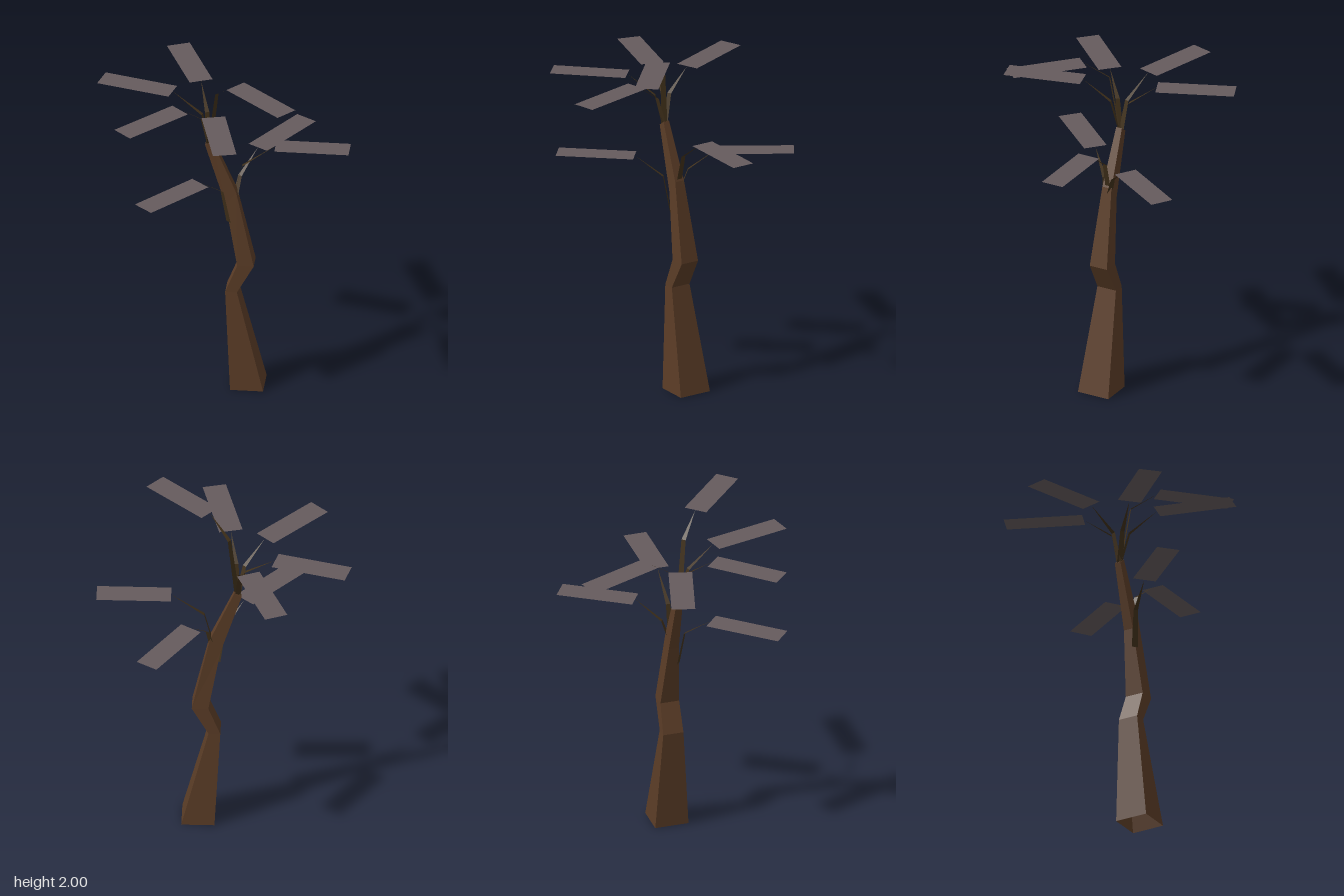
import * as THREE from 'three';

const bark = new THREE.MeshStandardMaterial({ color: 0x5a3c26, flatShading: true, side: THREE.DoubleSide });
const twigBark = new THREE.MeshStandardMaterial({ color: 0x40301a, flatShading: true, side: THREE.DoubleSide });
const leafGrey = new THREE.MeshStandardMaterial({ color: 0x655b5d, flatShading: true, side: THREE.DoubleSide });

// Joins rings of equal length into one surface
function loft(rings, closed) {
  const n = rings[0].length, index = [];
  for (let i = 0; i < rings.length - 1; i++) {
    for (let j = 0; j < (closed ? n : n - 1); j++) {
      const a = i * n + j, b = i * n + (j + 1) % n;
      index.push(a, a + n, b, b, a + n, b + n);
    }
  }
  const geometry = new THREE.BufferGeometry();
  geometry.setAttribute('position', new THREE.Float32BufferAttribute(rings.flat(2), 3));
  geometry.setIndex(index);
  geometry.computeVertexNormals();
  return geometry;
}

function add(parent, name, geometry, material) {
  const mesh = new THREE.Mesh(geometry, material);
  mesh.name = name;
  parent.add(mesh);
  return mesh;
}

// Four-sided crooked trunk: [x left, y left, x right, y right, z back, z front]
function makeTrunk() {
  const sections = [
    [0.05, 0, 0.238, 0, -0.117, 0.08],
    [0.018, 0.61, 0.085, 0.61, -0.08, 0.04],
    [0.086, 0.78, 0.18, 0.78, -0.075, 0.036],
    [0.018, 1.16, 0.078, 1.24, -0.047, 0.012],
    [-0.1, 1.53, -0.06, 1.56, -0.037, 0],
  ];
  const rings = sections.map(([xl, yl, xr, yr, zb, zf]) =>
    [[xl, yl, zb], [xl, yl, zf], [xr, yr, zf], [xr, yr, zb]].reverse());
  const [xl, yl, xr, yr, zb, zf] = sections[sections.length - 1];
  const tip = [(xl + xr) / 2, (yl + yr) / 2, (zb + zf) / 2];
  rings.push([tip, tip, tip, tip]);
  return loft(rings, true);
}

// Flat tapering twig, widened sideways to the direction it grows in
function makeTwig(points, heading) {
  const sx = -Math.sin(heading), sz = Math.cos(heading);
  const halfWidths = [0.018, 0.013, 0];
  return loft(points.map(([x, y, z], i) =>
    [-1, 1].map(s => [x + s * sx * halfWidths[i], y, z + s * sz * halfWidths[i]])), false);
}

export function createModel() {
  const tree = new THREE.Group();
  tree.name = 'bareTree';
  add(tree, 'trunk', makeTrunk(), bark);

  // Each branch: root, bend, tip, and the middle of the leaf's outer edge (x, z)
  const branches = [
    [[0.06, 1.2, -0.02], [0.11, 1.4, -0.022], [0.298, 1.535, -0.025], [0.72, -0.025]],
    [[0.07, 1.2, -0.03], [0.092, 1.31, -0.065], [0.18, 1.425, -0.195], [0.418, -0.568]],
    [[0.035, 1.05, 0.015], [0, 1.26, 0.042], [-0.11, 1.375, 0.163], [-0.402, 0.495]],
    [[-0.08, 1.53, -0.02], [-0.095, 1.71, -0.062], [-0.145, 1.825, -0.215], [-0.318, -0.628]],
    [[-0.08, 1.53, -0.02], [-0.12, 1.71, -0.035], [-0.292, 1.825, -0.078], [-0.71, -0.193]],
    [[-0.08, 1.53, -0.015], [-0.115, 1.71, 0.022], [-0.228, 1.825, 0.135], [-0.525, 0.45]],
    [[-0.075, 1.53, -0.015], [-0.068, 1.71, 0.04], [-0.032, 1.825, 0.2], [0.078, 0.635]],
    [[-0.075, 1.53, -0.015], [-0.03, 1.88, 0.025], [0.085, 1.995, 0.132], [0.407, 0.425]],
  ];

  for (const [root, bend, tip, [ox, oz]] of branches) {
    const heading = Math.atan2(oz - tip[2], ox - tip[0]);
    const branch = new THREE.Group();
    branch.name = 'branch';
    tree.add(branch);
    add(branch, 'twig', makeTwig([root, bend, tip], heading), twigBark);

    // Level rectangular leaf reaching outward from the twig tip
    const length = Math.hypot(ox - tip[0], oz - tip[2]);
    const geometry = new THREE.PlaneGeometry(length, 0.135).rotateX(-Math.PI / 2);
    const leaf = add(branch, 'leaf', geometry, leafGrey);
    leaf.position.set((tip[0] + ox) / 2, tip[1], (tip[2] + oz) / 2);
    leaf.rotation.y = -heading;
  }
  return tree;
}
